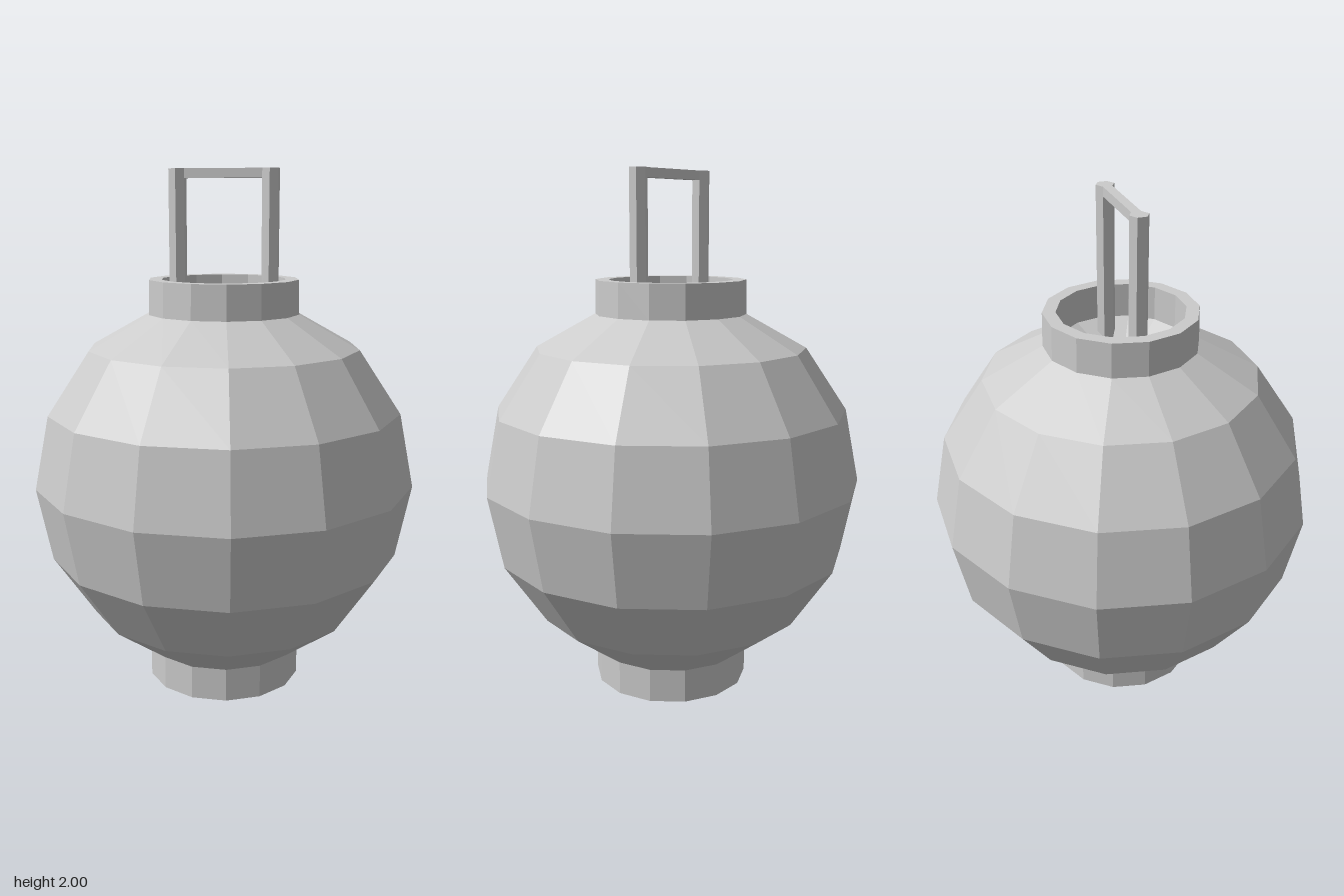
import * as THREE from 'three';

const SIDES = 14;
const grey = new THREE.MeshStandardMaterial({ color: 0xcccccc, flatShading: true });

function add(parent, name, geometry, x = 0, y = 0) {
  const mesh = new THREE.Mesh(geometry, grey);
  mesh.name = name;
  mesh.position.set(x, y, 0);
  parent.add(mesh);
  return mesh;
}

// Faceted surface of revolution with a corner on the x axis
function lathe(points) {
  const profile = points.map(([r, y]) => new THREE.Vector2(r, y));
  return new THREE.LatheGeometry(profile, SIDES, Math.PI / SIDES);
}

export function createModel() {
  const group = new THREE.Group();
  group.name = 'lantern';

  // Base ring with a conical recess underneath
  add(group, 'baseRing', lathe([[0, 0.26], [0.245, 0.13], [0.245, 0], [0.303, 0], [0.303, 0.13]]));

  // Round body
  add(group, 'body', lathe([
    [0.303, 0.13], [0.521, 0.294], [0.681, 0.533], [0.737, 0.815],
    [0.681, 1.097], [0.521, 1.336], [0.29, 1.465],
  ]));

  // Neck ring with a conical floor inside
  add(group, 'neckRing', lathe([[0.29, 1.465], [0.287, 1.595], [0.238, 1.595], [0.238, 1.465], [0, 1.335]]));

  // Handle: two hexagonal posts joined by a bar
  const handle = new THREE.Group();
  handle.name = 'handle';
  group.add(handle);
  const bottom = 1.4;
  for (const side of [-1, 1]) {
    add(handle, side > 0 ? 'leftPost' : 'rightPost',
      new THREE.CylinderGeometry(0.035, 0.035, 2 - bottom, 6), side * 0.177, (2 + bottom) / 2);
  }
  add(handle, 'handleBar', new THREE.BoxGeometry(0.3, 0.035, 0.035), 0, 1.9825);

  return group;
}
